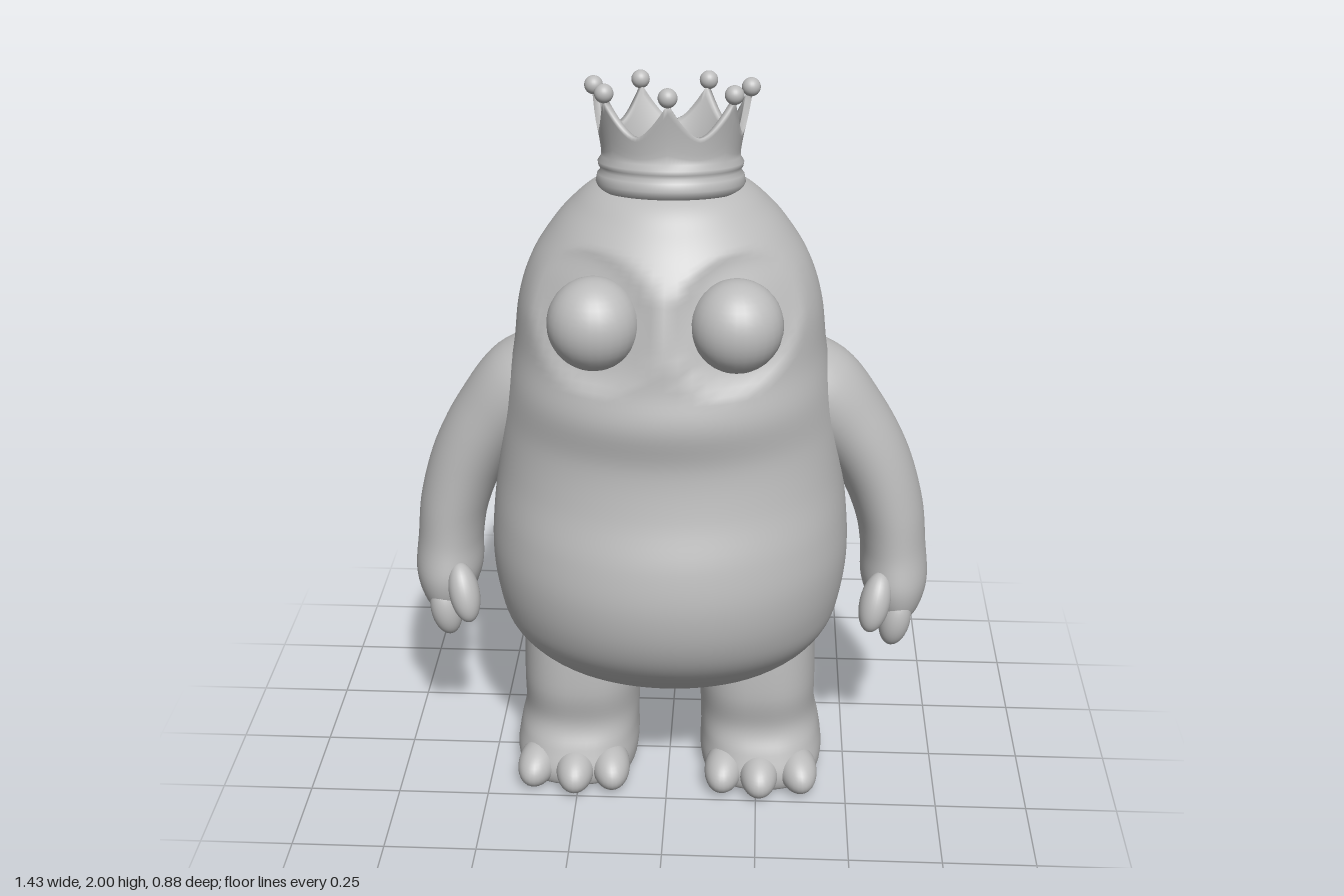
import * as THREE from 'three';

const grey = new THREE.MeshStandardMaterial({ color: 0xbcbcbc });
grey.name = 'plain grey';

function add(parent, name, geometry) {
  const mesh = new THREE.Mesh(geometry, grey);
  mesh.name = name;
  parent.add(mesh);
  return mesh;
}

// Skin a stack of closed rings (bottom to top) and cap both ends
function skin(rings) {
  const n = rings[0].length;
  const pos = rings.flat(2);
  const index = [];
  for (let i = 0; i < rings.length - 1; i++) {
    for (let j = 0; j < n; j++) {
      const a = i * n + j, b = i * n + (j + 1) % n;
      index.push(a, a + n, b, b, a + n, b + n);
    }
  }
  [0, rings.length - 1].forEach((r, end) => {
    const centre = pos.length / 3;
    const sum = [0, 0, 0];
    rings[r].forEach(p => p.forEach((v, k) => { sum[k] += v / n; }));
    pos.push(...sum);
    for (let j = 0; j < n; j++) {
      const a = r * n + j, b = r * n + (j + 1) % n;
      if (end) index.push(centre, b, a);
      else index.push(centre, a, b);
    }
  });
  const g = new THREE.BufferGeometry();
  g.setAttribute('position', new THREE.Float32BufferAttribute(pos, 3));
  g.setIndex(index);
  g.computeVertexNormals();
  return g;
}

// Smoothly blend sections [x, y, z, radiusX, radiusZ, tilt] into oval rings
function loft(sections, side = 1, power = 1, n = 48, steps = 6) {
  const at = i => sections[Math.min(sections.length - 1, Math.max(0, i))];
  const rings = [];
  const shape = v => Math.sign(v) * Math.abs(v) ** power;
  for (let s = 0; s <= (sections.length - 1) * steps; s++) {
    const i = Math.floor(s / steps), t = (s % steps) / steps;
    const [x, y, z, rx, rz, tilt] = [0, 1, 2, 3, 4, 5].map(k => {
      const [a, b, c, d] = [at(i - 1), at(i), at(i + 1), at(i + 2)].map(q => q[k] || 0);
      return b + 0.5 * t * (c - a + t * (2 * a - 5 * b + 4 * c - d + t * (3 * (b - c) + d - a)));
    });
    rings.push(Array.from({ length: n }, (_, j) => {
      const u = j / n * Math.PI * 2, r = rx * shape(Math.cos(u));
      return [side * x + r * Math.cos(tilt), y + side * r * Math.sin(tilt), z + rz * shape(Math.sin(u))];
    }));
  }
  return skin(rings);
}

function ellipsoid(parent, name, [x, y, z], [rx, ry, rz], rotation = [0, 0, 0]) {
  const m = add(parent, name, new THREE.SphereGeometry(1, 28, 20));
  m.position.set(x, y, z);
  m.scale.set(rx, ry, rz);
  m.rotation.set(...rotation);
  return m;
}

const EYE = { x: 0.177, y: 1.445, z: 0.27 };

// Pear-shaped body: [y, halfWidth, front z, back z]
function bodyGeometry() {
  const profile = [
    [0.29, 0.12, 0.09, -0.09], [0.32, 0.26, 0.17, -0.16], [0.38, 0.36, 0.26, -0.235],
    [0.48, 0.44, 0.365, -0.335], [0.58, 0.472, 0.42, -0.41], [0.7, 0.485, 0.44, -0.44],
    [0.82, 0.478, 0.425, -0.428], [0.95, 0.462, 0.385, -0.395], [1.08, 0.447, 0.366, -0.385],
    [1.2, 0.425, 0.383, -0.385], [1.3, 0.408, 0.362, -0.38], [1.42, 0.393, 0.345, -0.367],
    [1.52, 0.36, 0.31, -0.345], [1.6, 0.31, 0.258, -0.315], [1.66, 0.258, 0.205, -0.272],
    [1.71, 0.195, 0.15, -0.215], [1.75, 0.09, 0.06, -0.13],
  ];
  const g = loft(profile.map(([y, w, f, b]) => [0, y, (f + b) / 2, w, (f - b) / 2]), 1, 1, 72);
  // Shallow sockets around the eyes
  const p = g.attributes.position;
  for (let i = 0; i < p.count; i++) {
    if (p.getZ(i) < 0.1) continue;
    const d = Math.hypot(Math.abs(p.getX(i)) - EYE.x, p.getY(i) - EYE.y) / 0.165;
    if (d < 1) p.setZ(i, p.getZ(i) - 0.035 * (1 - d ** 4));
  }
  g.computeVertexNormals();
  return g;
}

function arm(side) {
  const g = new THREE.Group();
  g.name = side > 0 ? 'leftArm' : 'rightArm';
  add(g, 'armAndPalm', loft([
    [0.63, 0.46, -0.05, 0.03, 0.08, 0], [0.628, 0.5, -0.05, 0.068, 0.12, 0],
    [0.622, 0.58, -0.045, 0.092, 0.134, 0], [0.615, 0.68, -0.055, 0.09, 0.128, 0.05],
    [0.598, 0.79, -0.06, 0.094, 0.13, 0.18], [0.553, 0.92, -0.06, 0.101, 0.132, 0.4],
    [0.48, 1.04, -0.055, 0.112, 0.138, 0.62], [0.37, 1.15, -0.045, 0.135, 0.15, 0.75],
    [0.24, 1.23, -0.03, 0.12, 0.13, 0.85],
  ], side));
  [[0.625, 0.485, 0.045], [0.635, 0.478, -0.05], [0.635, 0.488, -0.145]].forEach(([x, y, z]) =>
    ellipsoid(g, 'finger', [side * x, y, z], [0.043, 0.08, 0.046], [0, 0, -side * 0.15]));
  ellipsoid(g, 'thumb', [side * 0.565, 0.56, 0.085], [0.042, 0.085, 0.048], [-0.35, 0, -side * 0.2]);
  return g;
}

function leg(side) {
  const g = new THREE.Group();
  g.name = side > 0 ? 'leftLeg' : 'rightLeg';
  add(g, 'legAndFoot', loft([
    [0.262, 0.006, 0.01, 0.145, 0.17], [0.262, 0.015, 0.01, 0.165, 0.2],
    [0.262, 0.06, 0.008, 0.173, 0.212], [0.258, 0.12, -0.002, 0.168, 0.202],
    [0.25, 0.19, -0.008, 0.162, 0.182], [0.248, 0.3, 0.004, 0.162, 0.186],
    [0.245, 0.46, 0.005, 0.16, 0.18],
  ], side, 0.82));
  [[0.16, 0.17, -0.12], [0.258, 0.19, 0], [0.365, 0.165, 0.18]].forEach(([x, z, turn]) =>
    ellipsoid(g, 'toe', [side * x, 0.062, z], [0.054, 0.056, 0.09], [0.15, side * turn, 0]));
  return g;
}

// Crown with seven ball-tipped points, hollow above its floor
function crown() {
  const g = new THREE.Group();
  g.name = 'crown';
  const points = 7, n = points * 16;
  const ring = (radius, height) => Array.from({ length: n }, (_, j) => {
    const u = j / n * Math.PI * 2;
    // 1 at a point, 0 in the valley between two points
    const k = Math.abs(((u - Math.PI / 2) / (Math.PI * 2) * points % 1 + 1) % 1 - 0.5) * 2;
    const y = height(k ** 1.7);
    const r = radius(y);
    return [r * Math.cos(u), y, r * Math.sin(u)];
  });
  const flare = y => 0.176 + 0.032 * Math.max(0, (y - 0.08) / 0.15) ** 1.4;
  const top = k => 0.145 + 0.087 * k;
  const rings = [[0.15, -0.01], [0.183, -0.005], [0.191, 0.015], [0.187, 0.035], [0.178, 0.045],
    [0.184, 0.055], [0.186, 0.066], [0.177, 0.08]].map(([r, y]) => ring(() => r, () => y));
  for (let s = 1; s <= 6; s++) rings.push(ring(flare, k => 0.08 + (top(k) - 0.08) * s / 6));
  for (let s = 6; s >= 0; s--) rings.push(ring(y => flare(y) - 0.016, k => 0.08 + (top(k) - 0.08) * s / 6));
  rings.push(ring(() => 0.145, () => 0.07), ring(() => 0.05, () => 0.078));
  add(g, 'crownBand', skin(rings));
  for (let i = 0; i < points; i++) {
    const u = Math.PI / 2 + i / points * Math.PI * 2;
    ellipsoid(g, 'crownBall', [0.205 * Math.cos(u), 0.247, 0.205 * Math.sin(u)], [0.024, 0.024, 0.024]);
  }
  g.position.set(0, 1.702, -0.033);
  g.rotation.x = -0.15;
  return g;
}

export function createModel() {
  const model = new THREE.Group();
  model.name = 'crownedMonster';
  add(model, 'body', bodyGeometry());
  for (const side of [1, -1]) {
    model.add(arm(side), leg(side));
    ellipsoid(model, 'eye', [side * EYE.x, EYE.y, EYE.z], [0.116, 0.118, 0.115]);
  }
  model.add(crown());
  return model;
}
